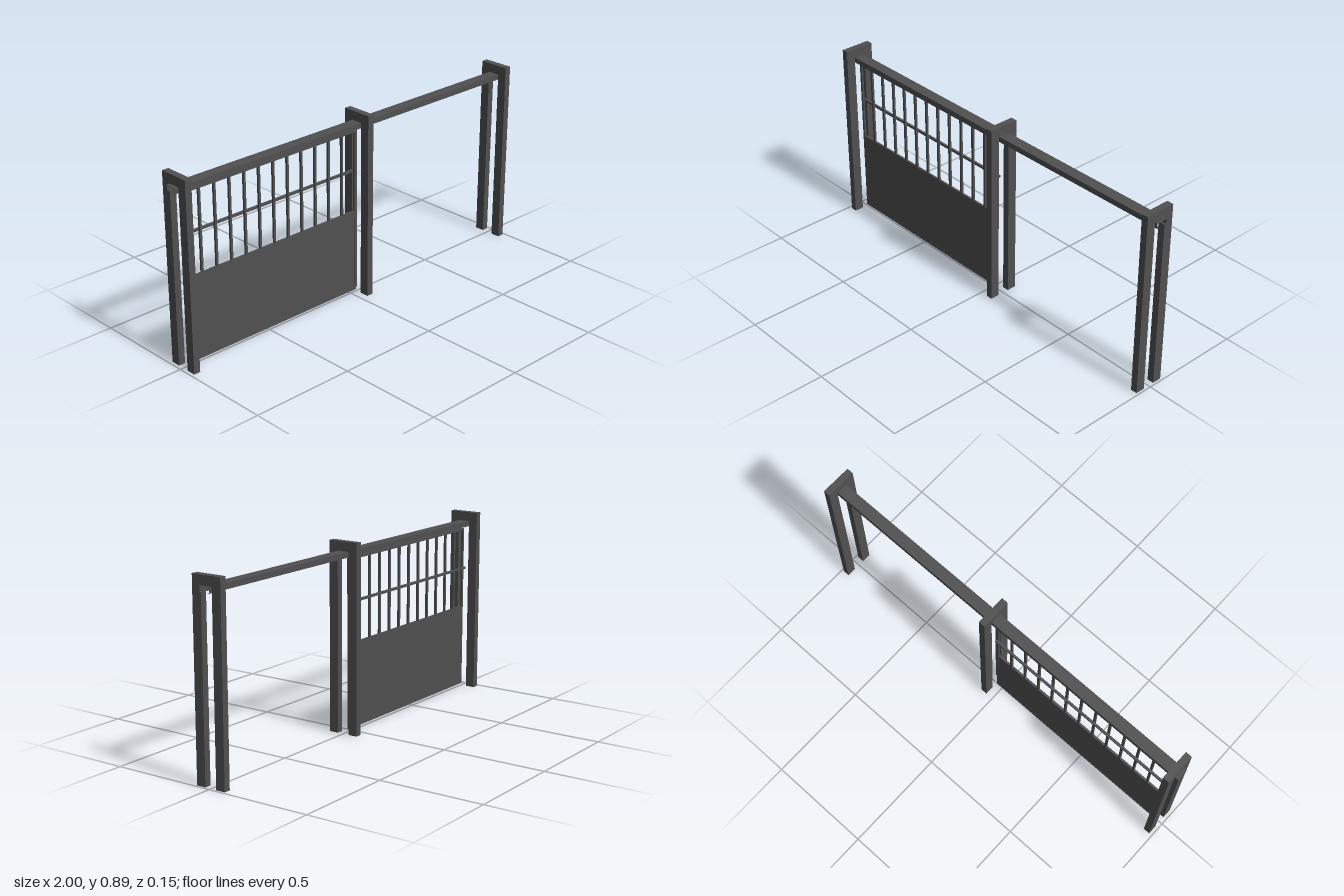
import * as THREE from 'three';

const steel = new THREE.MeshStandardMaterial({ color: 0x505050 });

// Box given by its minimum and maximum on each axis
function bar(name, x0, x1, y0, y1, z0, z1) {
  const mesh = new THREE.Mesh(new THREE.BoxGeometry(x1 - x0, y1 - y0, z1 - z0), steel);
  mesh.position.set((x0 + x1) / 2, (y0 + y1) / 2, (z0 + z1) / 2);
  mesh.name = name;
  return mesh;
}

// Extrude a shape drawn in (z, y) along x
function extrudeAlongX(name, points, x0, x1) {
  const shape = new THREE.Shape(points.map(([z, y]) => new THREE.Vector2(-z, y)));
  const geometry = new THREE.ExtrudeGeometry(shape, { depth: x1 - x0, bevelEnabled: false });
  geometry.rotateY(Math.PI / 2);
  const mesh = new THREE.Mesh(geometry, steel);
  mesh.position.x = x0;
  mesh.name = name;
  return mesh;
}

// Upside-down U frame straddling the gate
function portal(x) {
  const o = 0.074, i = 0.029, top = 0.89, under = 0.846;
  return extrudeAlongX('portalPost', [
    [-o, 0], [-o, top], [o, top], [o, 0], [i, 0], [i, under], [-i, under], [-i, 0],
  ], x - 0.016, x + 0.016);
}

// Thin channel with lips, open along the bottom
function track() {
  const w = 0.027, t = 0.0015, lip = 0.016, top = 0.846, low = 0.82;
  return extrudeAlongX('overheadTrack', [
    [-w, low], [-w, top], [w, top], [w, low], [lip, low], [lip, low + t],
    [w - t, low + t], [w - t, top - t], [-w + t, top - t], [-w + t, low + t],
    [-lip, low + t], [-lip, low],
  ], -1, 1);
}

// Hanger strap with a pair of wheels running in the track
function trolley(x) {
  const group = new THREE.Group();
  group.name = 'trolley';
  group.add(bar('hanger', x - 0.008, x + 0.008, 0.806, 0.835, -0.002, 0.002));
  group.add(bar('axle', x - 0.002, x + 0.002, 0.828, 0.832, -0.014, 0.014));
  for (const side of [-1, 1]) {
    const wheel = new THREE.Mesh(new THREE.CylinderGeometry(0.011, 0.011, 0.005, 16), steel);
    wheel.rotation.x = Math.PI / 2;
    wheel.position.set(x, 0.83, side * 0.009);
    wheel.name = 'wheel';
    group.add(wheel);
  }
  return group;
}

// Sliding leaf: solid lower panel with a barred upper half
function gate() {
  const group = new THREE.Group();
  group.name = 'slidingGate';
  const left = -0.947, right = 0.03, bottom = 0.013, mid = 0.415, top = 0.81;
  const w = 0.011, d = 0.005;
  group.add(bar('lowerPanel', left + w, right - w, bottom + w, mid - w, -d + 0.0005, d - 0.0005));
  group.add(bar('bottomRail', left, right, bottom, bottom + w, -d, d));
  group.add(bar('middleRail', left + w, right - w, mid - w, mid, -d, d));
  group.add(bar('topRail', left, right, top - w, top, -d, d));
  group.add(bar('sideStile', left, left + w, bottom + w, top - w, -d, d));
  group.add(bar('sideStile', right - w, right, bottom + w, top - w, -d, d));
  const step = (right - left - w) / 12;
  for (let i = 1; i < 12; i++) {
    const x = left + w / 2 + i * step;
    group.add(bar('uprightBar', x - w / 2, x + w / 2, mid, top - w, -d, d));
  }
  // Cross bar fixed to the back of the uprights
  group.add(bar('crossBar', left, right, 0.604, 0.615, -0.016, -d));
  return group;
}

export function createModel() {
  const model = new THREE.Group();
  model.name = 'slidingGateAssembly';
  for (const x of [-0.968, 0.053, 0.973]) model.add(portal(x));
  model.add(track(), gate());
  for (const x of [-0.83, -0.583, -0.337, -0.09]) model.add(trolley(x));
  return model;
}
